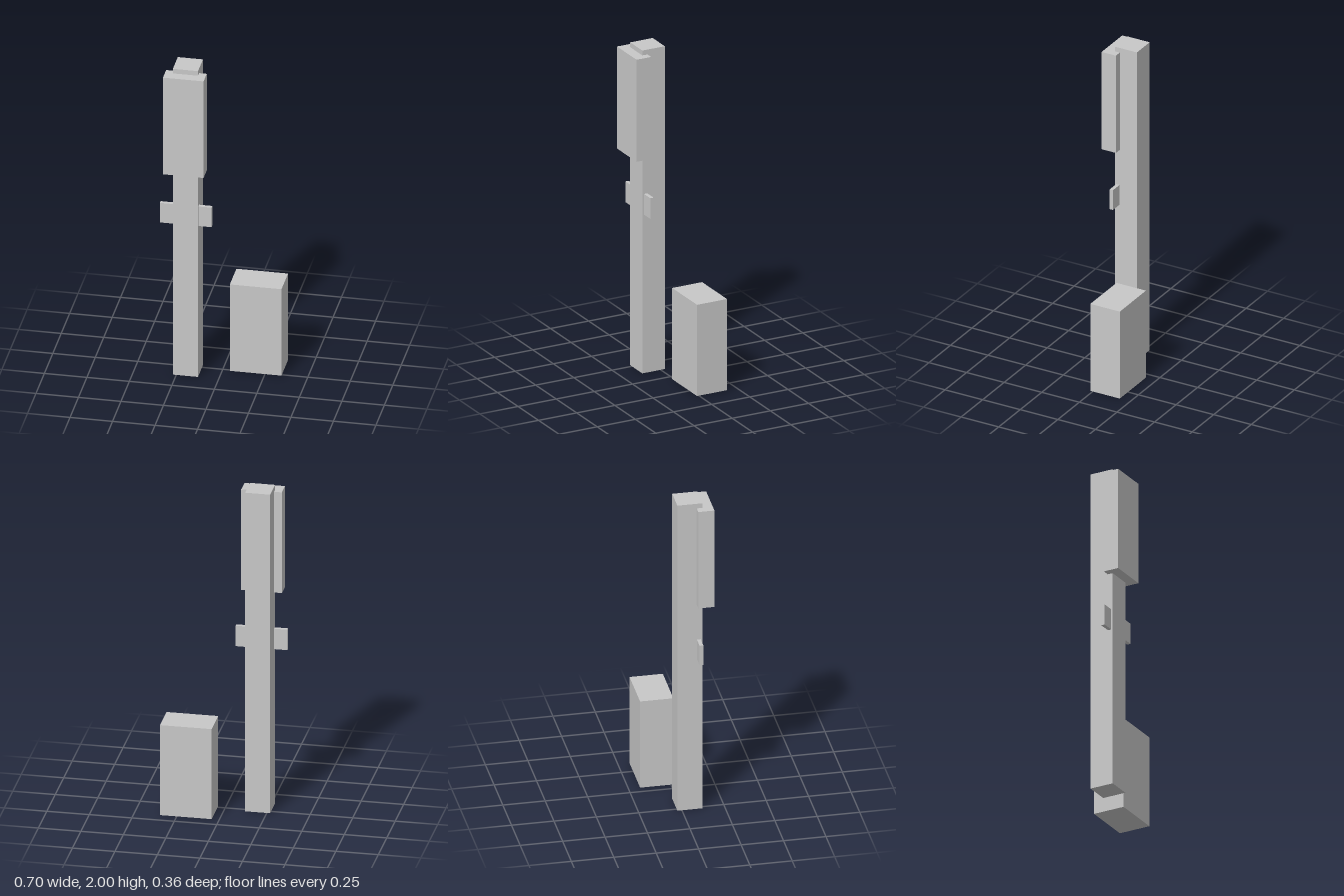
import * as THREE from 'three';

export function createModel() {
  const model = new THREE.Group();
  const grey = new THREE.MeshStandardMaterial({ color: 0xc8c8c8 });
  grey.name = 'light grey';

  // Box given by its minimum and maximum corners
  function addBox(name, min, max) {
    const size = max.map((v, i) => v - min[i]);
    const mesh = new THREE.Mesh(new THREE.BoxGeometry(...size), grey);
    mesh.position.set(...max.map((v, i) => (v + min[i]) / 2));
    mesh.name = name;
    model.add(mesh);
  }

  // Tall square post
  addBox('post', [-0.27, 0, -0.027], [-0.122, 2, 0.12]);
  // Housing fixed to the upper front of the post
  addBox('upperHousing', [-0.316, 1.338, 0.087], [-0.077, 1.97, 0.182]);
  // Thin plate crossing the post below the housing
  addBox('crossPlate', [-0.348, 0.982, 0.088], [-0.044, 1.11, 0.11]);
  // Separate cabinet standing on the ground
  addBox('cabinet', [0.044, 0.002, -0.182], [0.348, 0.567, 0.014]);

  return model;
}
